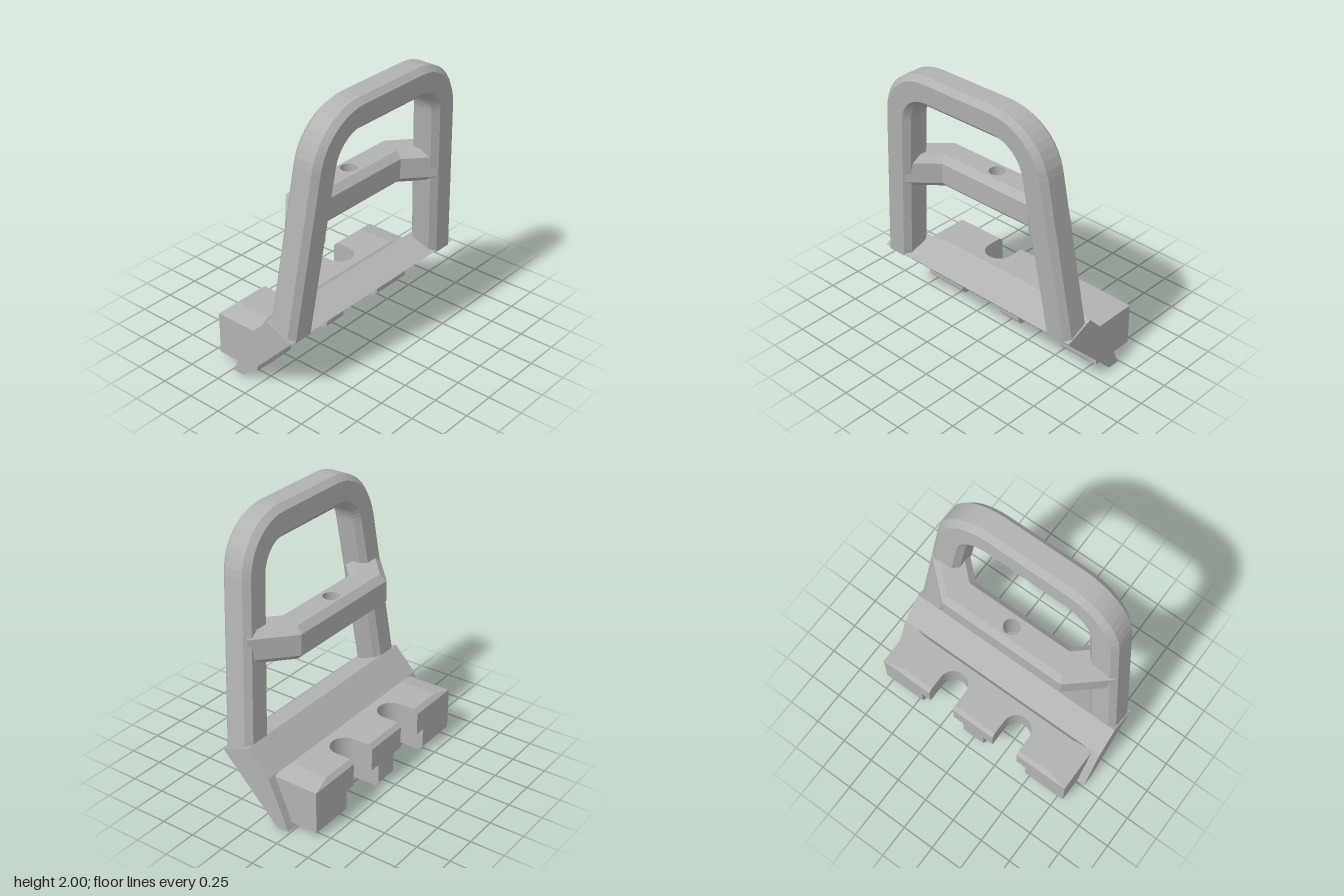
import * as THREE from 'three';

const grey = new THREE.MeshStandardMaterial({ color: 0xb2b2b2 });
grey.name = 'plain grey';

// Flat-faced skin over a row of convex rings, closed at both ends
function loft(rings) {
  const pos = [];
  const tri = (...pts) => pts.forEach((p) => pos.push(p.x, p.y, p.z));
  const n = rings[0].length;
  for (let i = 0; i < rings.length - 1; i++) {
    for (let k = 0; k < n; k++) {
      const j = (k + 1) % n;
      const a = rings[i][k], b = rings[i][j], c = rings[i + 1][j], d = rings[i + 1][k];
      tri(a, b, c);
      tri(a, c, d);
    }
  }
  const first = rings[0], last = rings[rings.length - 1];
  for (let k = 1; k < n - 1; k++) {
    tri(first[0], first[k + 1], first[k]);
    tri(last[0], last[k], last[k + 1]);
  }
  const g = new THREE.BufferGeometry();
  g.setAttribute('position', new THREE.Float32BufferAttribute(pos, 3));
  g.computeVertexNormals();
  return g;
}

const polygon = (pts) => new THREE.Shape(pts.map(([x, y]) => new THREE.Vector2(x, y)));

// Side profile (x, y) extruded from z0 to z1
function prism(pts, z0, z1) {
  return new THREE.ExtrudeGeometry(polygon(pts), { depth: z1 - z0, bevelEnabled: false }).translate(0, 0, z0);
}

// Plan shape (x, -z) raised through three heights; one level is drawn in to make the chamfer
function chamferedLayer(shape, heights, insetLevel) {
  const g = new THREE.ExtrudeGeometry(shape, { depth: 2, steps: 2, bevelEnabled: false, curveSegments: 16 });
  g.rotateX(-Math.PI / 2);
  const p = g.attributes.position;
  for (let i = 0; i < p.count; i++) {
    const level = Math.round(p.getY(i));
    p.setY(i, heights[level]);
    if (level === insetLevel) {
      p.setX(i, THREE.MathUtils.clamp(p.getX(i), -0.39, -0.105));
      p.setZ(i, THREE.MathUtils.clamp(p.getZ(i), -0.65, 0.65));
    }
  }
  g.computeVertexNormals();
  return g;
}

// Leaning arch: chamfered square bar bent over two splayed legs
function archGeometry() {
  const h = 0.11, c = 0.07;
  const section = [[h, -c], [h, c], [c, h], [-c, h], [-h, c], [-h, -c], [-c, -h], [c, -h]];
  const splay = 0.125, tilt = Math.atan(splay), steps = 10;
  const cz = 0.29, cy = 1.58, r = 0.31;
  const half = [];
  for (let i = 0; i <= steps; i++) {
    const a = tilt + (Math.PI / 2 - tilt) * (i / steps);
    half.push({ z: cz + r * Math.cos(a), y: cy + r * Math.sin(a), nz: Math.cos(a), ny: Math.sin(a) });
  }
  const s = half[0];
  half.unshift({ ...s, y: 0.5, z: s.z + (s.y - 0.5) * splay });
  const path = [...half, ...half.slice().reverse().map((p) => ({ ...p, z: -p.z, nz: -p.nz }))];
  return loft(path.map((p, i) => section.map(([u, v]) => {
    let y = p.y + u * p.ny;
    let z = p.z + u * p.nz;
    let x = 0.19 + (y - 0.5) * 0.08 + v;
    if (i === 0 || i === path.length - 1) { // trim the foot to the sloping sill
      const drop = y - (0.51 - (x - 0.085) * 0.37);
      y -= drop;
      x -= drop * 0.08;
      z += drop * splay * Math.sign(p.z);
    }
    return new THREE.Vector3(x, y, z);
  })));
}

// Cross bar centre line (x, z) with mitred sideways normals
function barPath() {
  const pts = [[0.25, -0.66], [0.05, -0.435], [0.05, 0.435], [0.25, 0.66]].map((p) => new THREE.Vector2(...p));
  const normals = pts.slice(1).map((p, i) => {
    const d = p.clone().sub(pts[i]).normalize();
    return new THREE.Vector2(d.y, -d.x);
  });
  return pts.map((p, i) => {
    const a = normals[Math.max(i - 1, 0)], b = normals[Math.min(i, normals.length - 1)];
    const m = a.clone().add(b).divideScalar(1 + a.dot(b));
    return (u) => [p.x + u * m.x, p.y + u * m.y];
  });
}

export function createModel() {
  const model = new THREE.Group();
  const add = (name, geometry, parent = model) => {
    const mesh = new THREE.Mesh(geometry, grey);
    mesh.name = name;
    parent.add(mesh);
  };
  const group = (name) => {
    const g = new THREE.Group();
    g.name = name;
    model.add(g);
    return g;
  };

  // Slanted sill, its lower edge cut by two wide notches
  const sill = group('sill');
  add('sillUpper', prism([[-0.16, 0.18], [0.035, 0.18], [0.295, 0.445], [0.083, 0.528], [-0.083, 0.355]], -0.86, 0.86), sill);
  for (const [z0, z1] of [[-0.86, -0.465], [-0.09, 0.09], [0.465, 0.86]]) {
    add('sillFoot', prism([[-0.235, 0], [-0.145, 0], [0.035, 0.18], [-0.16, 0.18]], z0, z1), sill);
  }

  // Clamp block: slotted top over three feet
  const block = group('clampBlock');
  const x0 = -0.42, x1 = -0.075, slotR = 0.105, slotX = -0.275;
  const plan = new THREE.Shape();
  plan.moveTo(x0, -0.8);
  plan.lineTo(x1, -0.8);
  plan.lineTo(x1, 0.8);
  plan.lineTo(x0, 0.8);
  for (const z of [0.28, -0.28]) {
    plan.lineTo(x0, z + slotR);
    plan.lineTo(slotX, z + slotR);
    plan.absarc(slotX, z, slotR, Math.PI / 2, -Math.PI / 2, true);
    plan.lineTo(x0, z - slotR);
  }
  plan.closePath();
  add('slottedTop', chamferedLayer(plan, [0.18, 0.345, 0.375], 2), block);
  for (const [a, b] of [[-0.8, -0.465], [-0.09, 0.09], [0.465, 0.8]]) {
    const foot = polygon([[x0, a], [x1, a], [x1, b], [x0, b]]);
    add('clampFoot', chamferedLayer(foot, [0, 0.035, 0.18], 0), block);
  }

  add('archFrame', archGeometry());

  // Bent cross bar: drilled core with chamfered rails on both sides
  const bar = group('crossBar');
  const path = barPath();
  const inner = 0.08, outer = 0.125, y0 = 1.05, y1 = 1.29, cut = 0.045;
  const flip = ([x, z]) => [x, -z];
  const core = polygon([...path.map((f) => flip(f(-inner))), ...path.map((f) => flip(f(inner))).reverse()]);
  const hole = new THREE.Path();
  hole.absarc(0.045, 0, 0.058, 0, Math.PI * 2, true);
  core.holes.push(hole);
  const coreGeometry = new THREE.ExtrudeGeometry(core, { depth: y1 - y0, bevelEnabled: false, curveSegments: 24 });
  add('barCore', coreGeometry.rotateX(-Math.PI / 2).translate(0, y0, 0), bar);
  const rail = [[inner, y0], [outer, y0 + cut], [outer, y1 - cut], [inner, y1]];
  for (const section of [rail, rail.map(([u, y]) => [-u, y]).reverse()]) {
    add('barRail', loft(path.map((f) => section.map(([u, y]) => {
      const [x, z] = f(u);
      return new THREE.Vector3(x, y, z);
    }))), bar);
  }

  return model;
}
